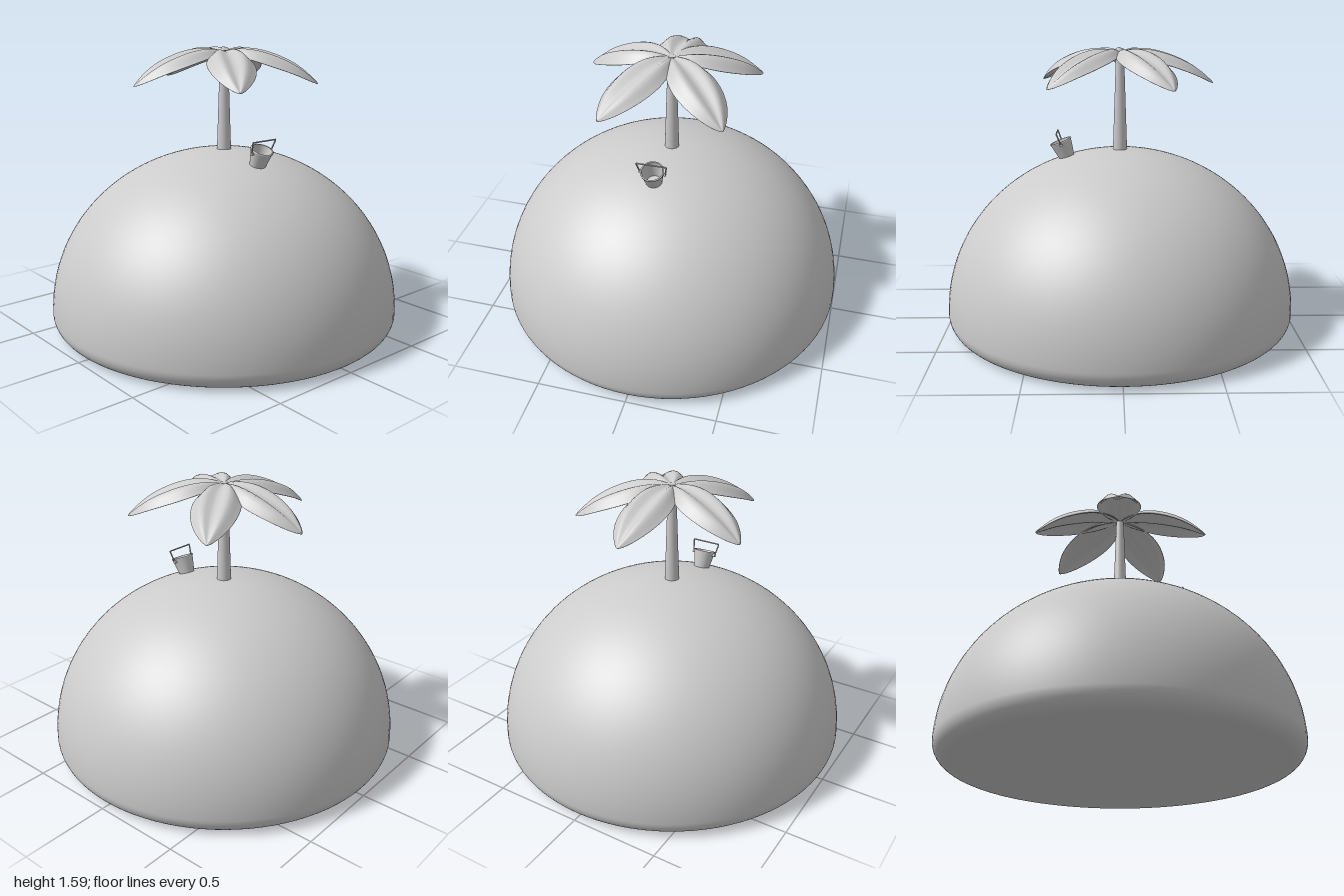
import * as THREE from 'three';

const grey = new THREE.MeshStandardMaterial({ color: 0xcccccc });
const greyOpen = new THREE.MeshStandardMaterial({ color: 0xcccccc, side: THREE.DoubleSide });
const v2 = (x, y) => new THREE.Vector2(x, y);
const v3 = (x, y, z) => new THREE.Vector3(x, y, z);

function part(name, geometry, material = grey) {
  const mesh = new THREE.Mesh(geometry, material);
  mesh.name = name;
  return mesh;
}

// Leaf along +x: closed cross-sections with a central groove and two lobes, swept along a drooping spine
function leafGeometry() {
  const spine = new THREE.CatmullRomCurve3([
    v3(0, 1.565, 0), v3(0.12, 1.558, 0), v3(0.25, 1.528, 0), v3(0.4, 1.47, 0), v3(0.525, 1.395, 0),
  ]);
  const rows = 32, around = 40, positions = [], indices = [];
  for (let i = 0; i <= rows; i++) {
    const t = (1 - Math.cos((i / rows) * Math.PI)) / 2;
    const p = spine.getPoint(t);
    const swell = Math.pow(Math.max(Math.sin(Math.PI * t), 0), 0.75);
    const thick = 0.013 * Math.sqrt(swell);
    for (let j = 0; j < around; j++) {
      const a = (j / around) * Math.PI * 2;
      const s = Math.cos(a);
      const fold = swell * (0.03 * Math.sin(Math.PI * s) ** 2 - 0.022 * s * s);
      positions.push(p.x, p.y + fold + thick * Math.sin(a), 0.13 * swell * s);
      if (i < rows) {
        const k = (j + 1) % around, r0 = i * around, r1 = r0 + around;
        indices.push(r0 + j, r1 + j, r0 + k, r1 + j, r1 + k, r0 + k);
      }
    }
  }
  const g = new THREE.BufferGeometry();
  g.setAttribute('position', new THREE.Float32BufferAttribute(positions, 3));
  g.setIndex(indices);
  g.computeVertexNormals();
  return g;
}

function createBucket() {
  const bucket = new THREE.Group();
  bucket.name = 'bucket';
  // Hollow pail with a thin wall and a small rim
  const wall = [
    v2(0, 0), v2(0.042, 0), v2(0.042, 0), v2(0.061, 0.105), v2(0.064, 0.105), v2(0.064, 0.112),
    v2(0.057, 0.112), v2(0.057, 0.112), v2(0.038, 0.008), v2(0.038, 0.008), v2(0, 0.008),
  ];
  bucket.add(part('pail', new THREE.LatheGeometry(wall, 32), greyOpen));

  // Square wire handle standing up from two ears
  const corners = [v3(0, 0.095, 0.07), v3(0, 0.165, 0.083), v3(0, 0.165, -0.083), v3(0, 0.095, -0.07)];
  const path = new THREE.CurvePath();
  for (let i = 0; i < 3; i++) path.add(new THREE.LineCurve3(corners[i], corners[i + 1]));
  bucket.add(part('handle', new THREE.TubeGeometry(path, 60, 0.004, 8)));
  for (const side of [-1, 1]) {
    const ear = part('handleEar', new THREE.CylinderGeometry(0.008, 0.008, 0.018, 12));
    ear.rotation.x = Math.PI / 2;
    ear.position.set(0, 0.095, side * 0.065);
    bucket.add(ear);
  }
  bucket.position.set(0.3, 0.96, 0.02);
  bucket.rotation.z = -0.37;
  return bucket;
}

export function createModel() {
  const model = new THREE.Group();
  model.name = 'island';

  // Dome with a rounded lower edge and flat underside
  const profile = [v2(0, 0), v2(0.6, 0), v2(0.89, 0)];
  for (let i = 0; i <= 10; i++) {
    const a = (i / 10) * Math.PI / 2;
    profile.push(v2(0.91 + 0.09 * Math.sin(a), 0.1 - 0.098 * Math.cos(a)));
  }
  for (let i = 1; i <= 40; i++) {
    const a = (i / 40) * Math.PI / 2;
    profile.push(v2(i === 40 ? 0 : Math.cos(a), 0.1 + 0.92 * Math.sin(a)));
  }
  model.add(part('ground', new THREE.LatheGeometry(profile, 96)));

  // Palm tree
  const palm = new THREE.Group();
  palm.name = 'palm';
  const trunk = part('trunk', new THREE.CylinderGeometry(0.022, 0.041, 0.58, 32));
  trunk.position.y = 1.285;
  palm.add(trunk);

  const leaf = leafGeometry();
  const tips = [[-0.52, 0], [-0.275, -0.455], [0.395, -0.365], [0.45, 0.275], [-0.165, 0.5]];
  for (const [x, z] of tips) {
    const mesh = part('leaf', leaf);
    mesh.rotation.y = Math.atan2(-z, x);
    palm.add(mesh);
  }
  model.add(palm, createBucket());
  return model;
}
